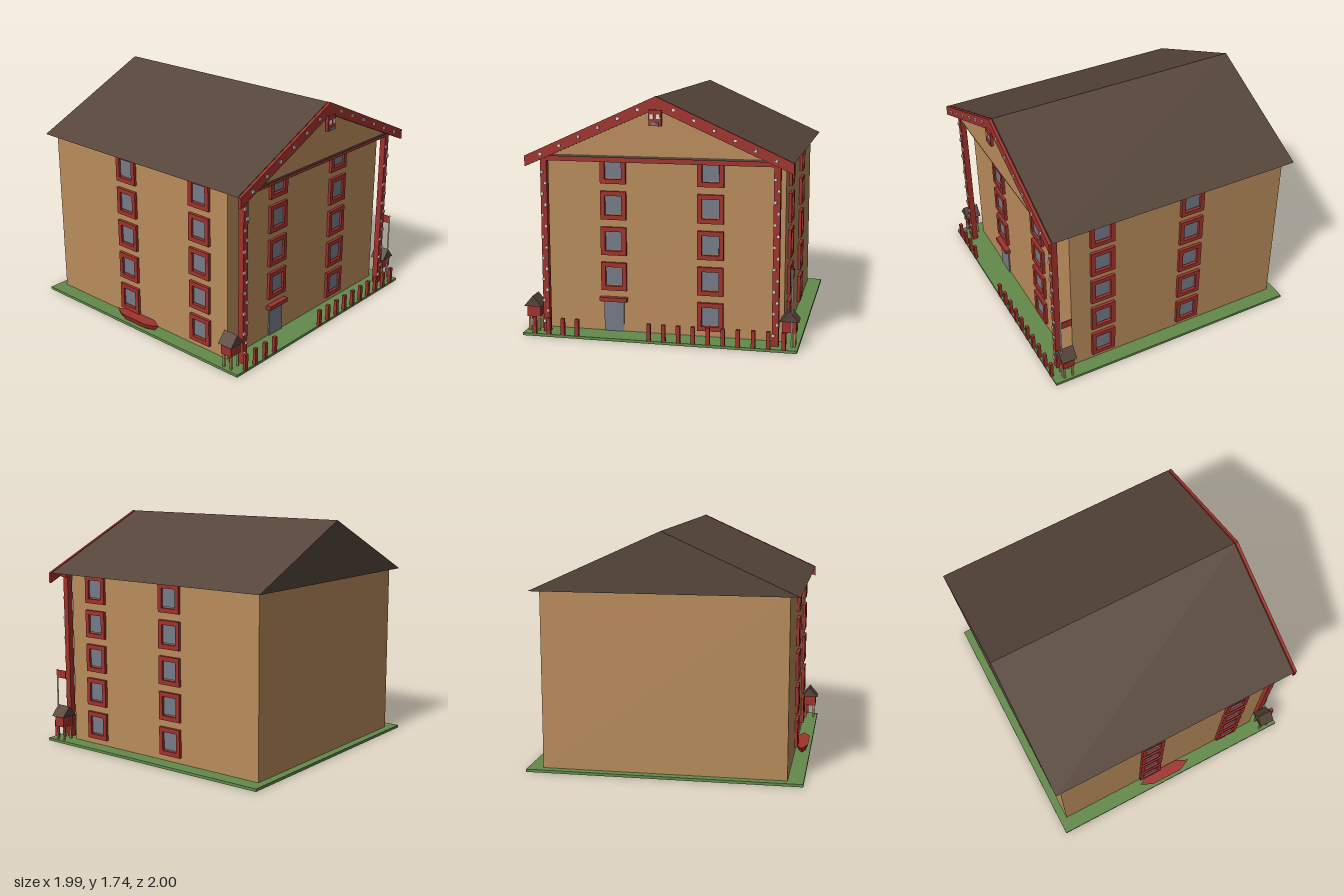
import * as THREE from 'three';

const paint = (name, color, side = THREE.FrontSide) => {
  const m = new THREE.MeshStandardMaterial({ color, side });
  m.name = name;
  return m;
};

export function createModel() {
  const tan = paint('tan timber', 0xb98c5b);
  const red = paint('red paint', 0xa0322c);
  const brown = paint('roof brown', 0x56453a);
  const green = paint('grass green', 0x638a4a);
  const glassGrey = paint('glass grey', 0x757b87);
  const white = paint('white', 0xe2e0d8);
  const model = new THREE.Group();

  const add = (parent, name, geometry, material, x = 0, y = 0, z = 0) => {
    const mesh = new THREE.Mesh(geometry, material);
    mesh.name = name;
    mesh.position.set(x, y, z);
    parent.add(mesh);
    return mesh;
  };
  const box = (parent, name, material, w, h, d, x, y, z) =>
    add(parent, name, new THREE.BoxGeometry(w, h, d), material, x, y, z);
  const group = (name, parent = model) => {
    const g = new THREE.Group();
    g.name = name;
    parent.add(g);
    return g;
  };
  // Extrude an outline in the xy plane forward from z = 0
  const slab = (points, depth) => new THREE.ExtrudeGeometry(
    new THREE.Shape(points.map(([x, y]) => new THREE.Vector2(x, y))),
    { depth, bevelEnabled: false });

  // Ground and main walls
  box(model, 'ground', green, 1.985, 0.02, 1.99, 0, 0.01, -0.005);
  box(model, 'walls', tan, 1.76, 1.29, 1.74, 0, 0.665, -0.07);

  // Roof with front gable and barge boards
  add(model, 'roof', slab([[-0.95, 1.31], [0.95, 1.31], [0, 1.74]], 1.94), brown, 0, 0, -0.99);
  add(model, 'gablePanel', slab([[-0.83, 1.328], [0.83, 1.328], [0, 1.695]], 0.006), tan, 0, 0, 0.95);
  add(model, 'bargeBoards', slab([[-0.95, 1.235], [0, 1.655], [0.95, 1.235],
    [0.95, 1.312], [0, 1.742], [-0.95, 1.312]], 0.022), red, 0, 0, 0.956);
  const studs = group('studs');
  for (const s of [-1, 1]) {
    for (let i = 0; i < 6; i++) {
      box(studs, 'boardStud', white, 0.02, 0.02, 0.01, s * (0.125 + i * 0.1415), 1.648 - i * 0.065, 0.982);
    }
  }

  // Carved face under the ridge
  const face = group('carvedFace');
  box(face, 'head', red, 0.09, 0.11, 0.022, 0, 1.596, 0.981);
  for (const s of [-1, 1]) box(face, 'eye', white, 0.027, 0.03, 0.006, s * 0.023, 1.606, 0.994);
  box(face, 'mouth', glassGrey, 0.05, 0.018, 0.006, 0, 1.556, 0.994);

  // Corner posts with zigzag studs, joined by a beam
  box(model, 'beam', red, 1.74, 0.04, 0.05, 0, 1.295, 0.9);
  for (const s of [-1, 1]) {
    box(model, 'cornerPost', red, 0.046, 1.26, 0.045, s * 0.832, 0.65, 0.9);
    for (let i = 0; i < 15; i++) {
      box(studs, 'postStud', white, 0.02, 0.02, 0.01,
        s * 0.832 + (i % 2 ? 0.012 : -0.012), 1.19 - i * 0.078, 0.927);
    }
  }

  // Windows: a red frame around a pane, facing +z before turning
  const frameShape = new THREE.Shape([[-0.094, -0.103], [0.094, -0.103], [0.094, 0.103], [-0.094, 0.103]]
    .map(p => new THREE.Vector2(...p)));
  frameShape.holes.push(new THREE.Path([[-0.062, -0.07], [-0.062, 0.07], [0.062, 0.07], [0.062, -0.07]]
    .map(p => new THREE.Vector2(...p))));
  const frameGeometry = new THREE.ExtrudeGeometry(frameShape, { depth: 0.022, bevelEnabled: false });
  const windowAt = (x, y, z, turn) => {
    const w = group('window');
    add(w, 'frame', frameGeometry, red);
    box(w, 'pane', glassGrey, 0.118, 0.13, 0.008, 0, 0.004, 0.004);
    w.position.set(x, y, z);
    w.rotation.y = turn;
  };
  for (let row = 0; row < 5; row++) {
    const y = 0.168 + row * 0.26;
    for (const s of [-1, 1]) {
      if (row > 0 || s > 0) windowAt(s * 0.353, y, 0.8, 0);
      for (const z of [0.55, -0.17]) windowAt(s * 0.88, y, z, s * Math.PI / 2);
    }
  }

  // Door and lintel
  box(model, 'door', glassGrey, 0.147, 0.225, 0.01, -0.355, 0.133, 0.805);
  box(model, 'doorLintel', red, 0.2, 0.03, 0.04, -0.355, 0.26, 0.82);

  // Fence posts, leaving a gap before the door
  const fence = group('fence');
  for (let i = 0; i < 18; i++) {
    if (i > 3 && i < 8) continue;
    box(fence, 'fencePost', red, 0.028, 0.125, 0.025, -0.9 + i * 0.1059, 0.0825, 0.9865);
  }

  // Small storehouses on legs
  for (const s of [-1, 1]) {
    const store = group('storehouse');
    store.position.set(s * 0.93, 0, 0.878);
    box(store, 'storeBody', red, 0.1, 0.08, 0.09, 0, 0.165, 0);
    add(store, 'storeRoof', slab([[-0.067, 0.205], [0.067, 0.205], [0, 0.285]], 0.12), brown, 0, 0, -0.06);
    for (const x of [-0.035, 0.035]) {
      for (const z of [-0.033, 0.033]) box(store, 'leg', tan, 0.014, 0.105, 0.014, x, 0.0725, z);
    }
  }

  // Flagpole and flag
  add(model, 'flagpole', new THREE.CylinderGeometry(0.006, 0.006, 0.55, 8), white, 0.947, 0.295, 0.92);
  box(model, 'flag', red, 0.006, 0.06, 0.09, 0.947, 0.535, 0.874);

  // Rowing boat: pointed hull narrowing toward the keel
  const hull = slab([[-0.045, -0.13], [0, -0.225], [0.045, -0.13],
    [0.045, 0.13], [0, 0.225], [-0.045, 0.13]], 0.045);
  hull.rotateX(-Math.PI / 2);
  const p = hull.attributes.position;
  for (let i = 0; i < p.count; i++) {
    if (p.getY(i) < 0.01) p.setXYZ(i, p.getX(i) * 0.6, p.getY(i), p.getZ(i) * 0.8);
  }
  hull.computeVertexNormals();
  add(model, 'boat', hull, red, -0.932, 0.02, -0.055);

  return model;
}
